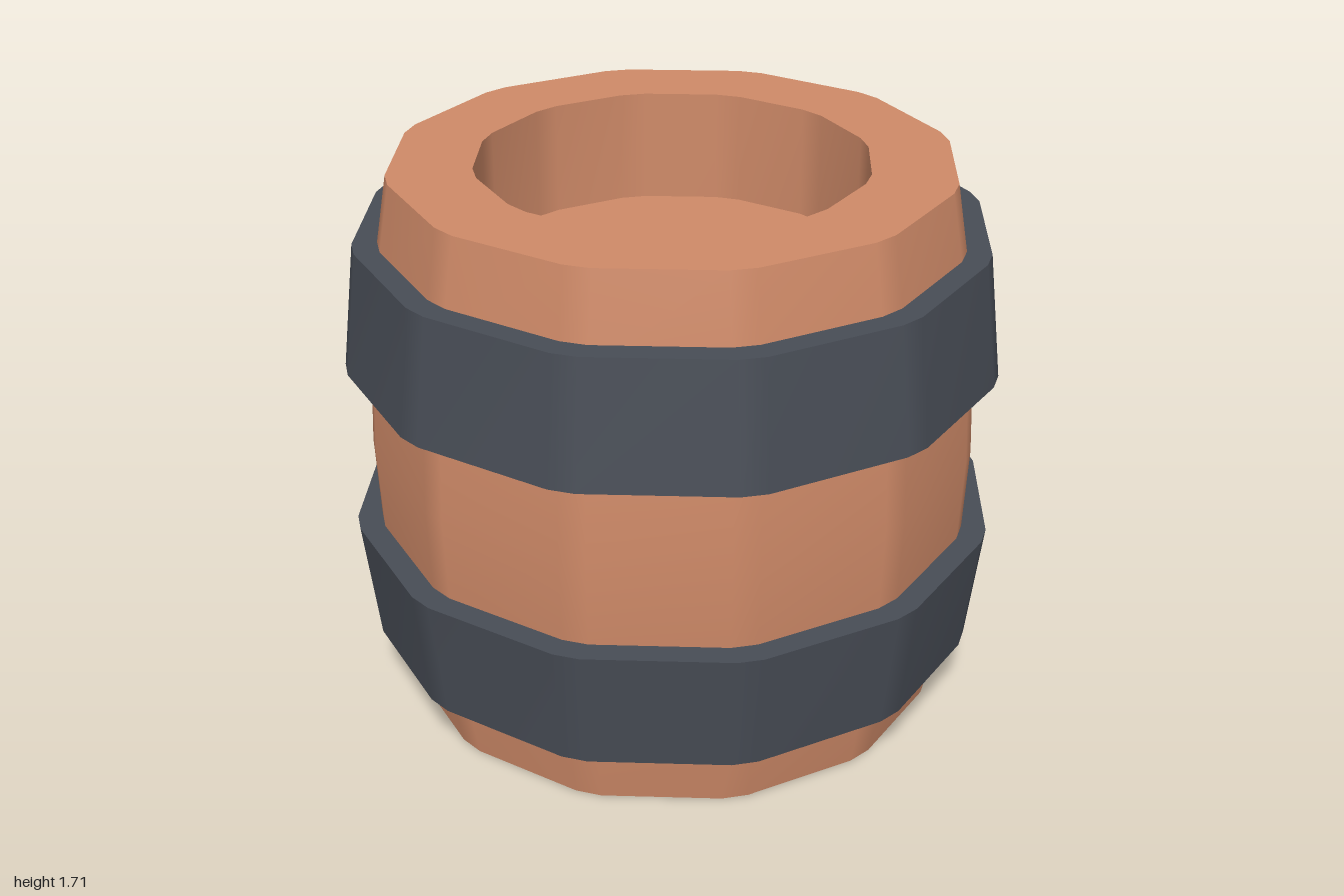
import * as THREE from 'three';

const SIDES = 12, BEVEL = 0.04, HEIGHT = 1.71;

// Sweeps a [radius, height] profile around a twelve-sided outline with bevelled corners.
// Normals are smooth within one sweep; separate sweeps meet in sharp edges.
function sweep(profile, material, name) {
  const pos = [], index = [], n = SIDES * 2;
  for (const [r, y] of profile) {
    const c = r > 0 ? BEVEL : 0;
    for (let k = 0; k < SIDES; k++) {
      const a = (k / SIDES) * Math.PI * 2;
      for (const s of [-c, c]) {
        pos.push(r * Math.cos(a) - s * Math.sin(a), y, r * Math.sin(a) + s * Math.cos(a));
      }
    }
  }
  for (let j = 0; j < profile.length - 1; j++) {
    for (let i = 0; i < n; i++) {
      const a = j * n + i, b = j * n + (i + 1) % n;
      index.push(a, a + n, b, b, a + n, b + n);
    }
  }
  const geo = new THREE.BufferGeometry();
  geo.setAttribute('position', new THREE.Float32BufferAttribute(pos, 3));
  geo.setIndex(index);
  geo.computeVertexNormals();
  const mesh = new THREE.Mesh(geo, material);
  mesh.name = name;
  return mesh;
}

// Mirrors a profile about mid-height, keeping the faces outward.
const flip = (profile) => profile.map(([r, y]) => [r, HEIGHT - y]).reverse();

export function createModel() {
  const wood = new THREE.MeshStandardMaterial({ color: 0xcf8a68 });
  wood.name = 'wood';
  const iron = new THREE.MeshStandardMaterial({ color: 0x484d56 });
  iron.name = 'darkIron';

  const model = new THREE.Group();
  model.name = 'barrel';

  // Bulging staves
  const lower = [[0.845, 0], [0.895, 0.29], [0.923, 0.58]];
  model.add(sweep([...lower, [0.935, HEIGHT / 2], ...flip(lower)], wood, 'staves'));

  // Rim, recess wall and recessed head at each end
  const end = {
    Rim: [[0.845, HEIGHT], [0.59, HEIGHT]],
    RecessWall: [[0.59, HEIGHT], [0.59, HEIGHT - 0.35]],
    Head: [[0.59, HEIGHT - 0.35], [0, HEIGHT - 0.35]],
  };
  for (const [part, profile] of Object.entries(end)) {
    model.add(sweep(profile, wood, 'top' + part));
    model.add(sweep(flip(profile), wood, 'bottom' + part));
  }

  // Flared hoops, each a closed band sunk slightly into the staves
  const hoop = [[0.955, 0.205], [1, 0.59], [0.9, 0.59], [0.86, 0.205], [0.955, 0.205]];
  for (const [name, profile] of [['lowerHoop', hoop], ['upperHoop', flip(hoop)]]) {
    const group = new THREE.Group();
    group.name = name;
    for (let i = 0; i < 4; i++) {
      group.add(sweep(profile.slice(i, i + 2), iron, name + 'Face' + (i + 1)));
    }
    model.add(group);
  }
  return model;
}
